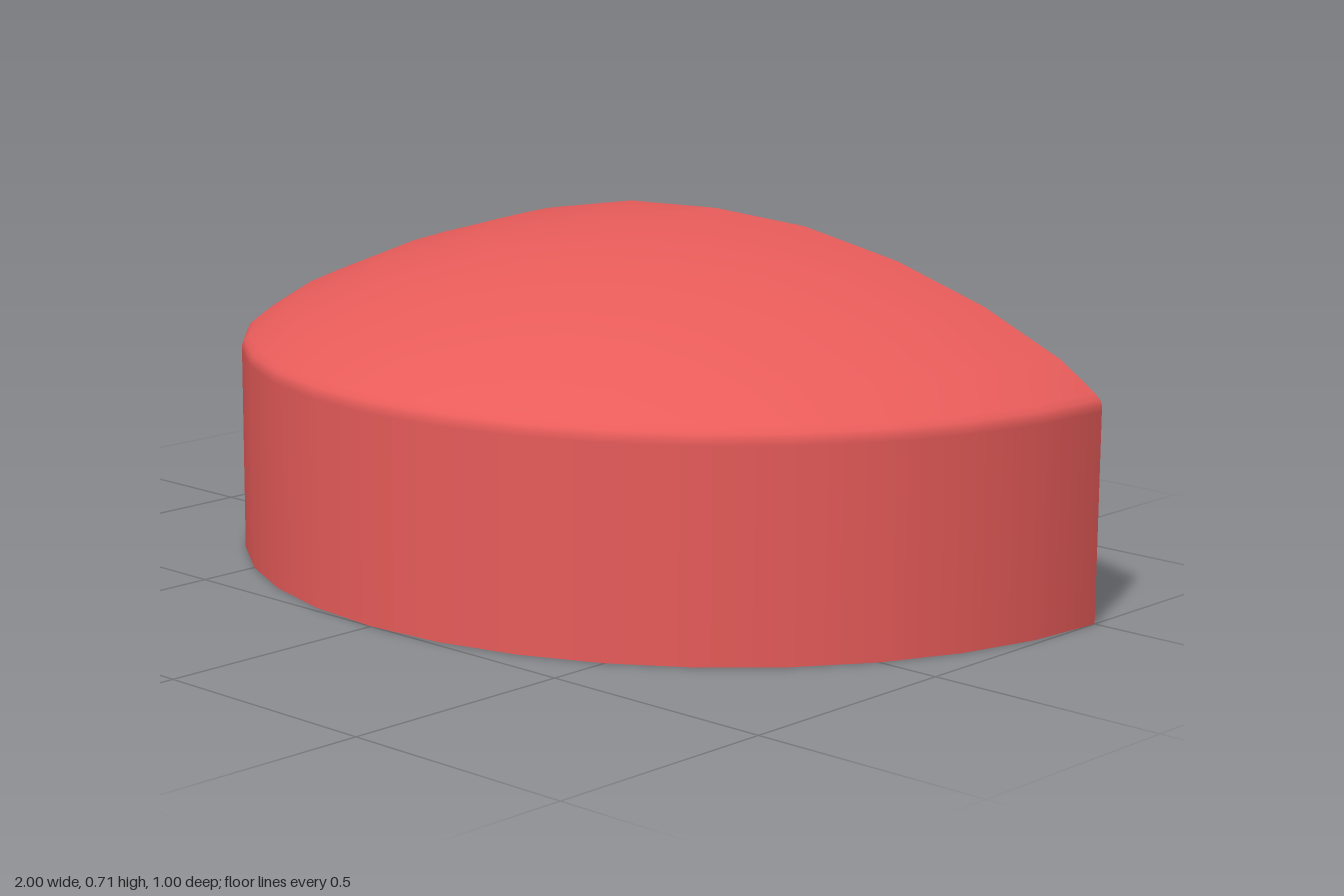
import * as THREE from 'three';

export function createModel() {
  const group = new THREE.Group();
  group.name = 'halfDomedCap';

  // Profile from wall foot, over the small rounded rim, to the dome's apex
  const profile = [
    [1, 0], [1, 0.425], [1, 0.437], [0.995, 0.448], [0.983, 0.459],
    [0.9, 0.513], [0.71, 0.593], [0.49, 0.657], [0.245, 0.7], [0, 0.711],
  ].map(([r, y]) => new THREE.Vector2(r, y));

  // Half turn facing the front; open at the back and underneath
  const shell = new THREE.Mesh(
    new THREE.LatheGeometry(profile, 18, -Math.PI / 2, Math.PI),
    new THREE.MeshStandardMaterial({ color: 0xe85c5a, side: THREE.DoubleSide })
  );
  shell.name = 'domedShell';
  shell.position.z = -0.5;
  group.add(shell);

  return group;
}
